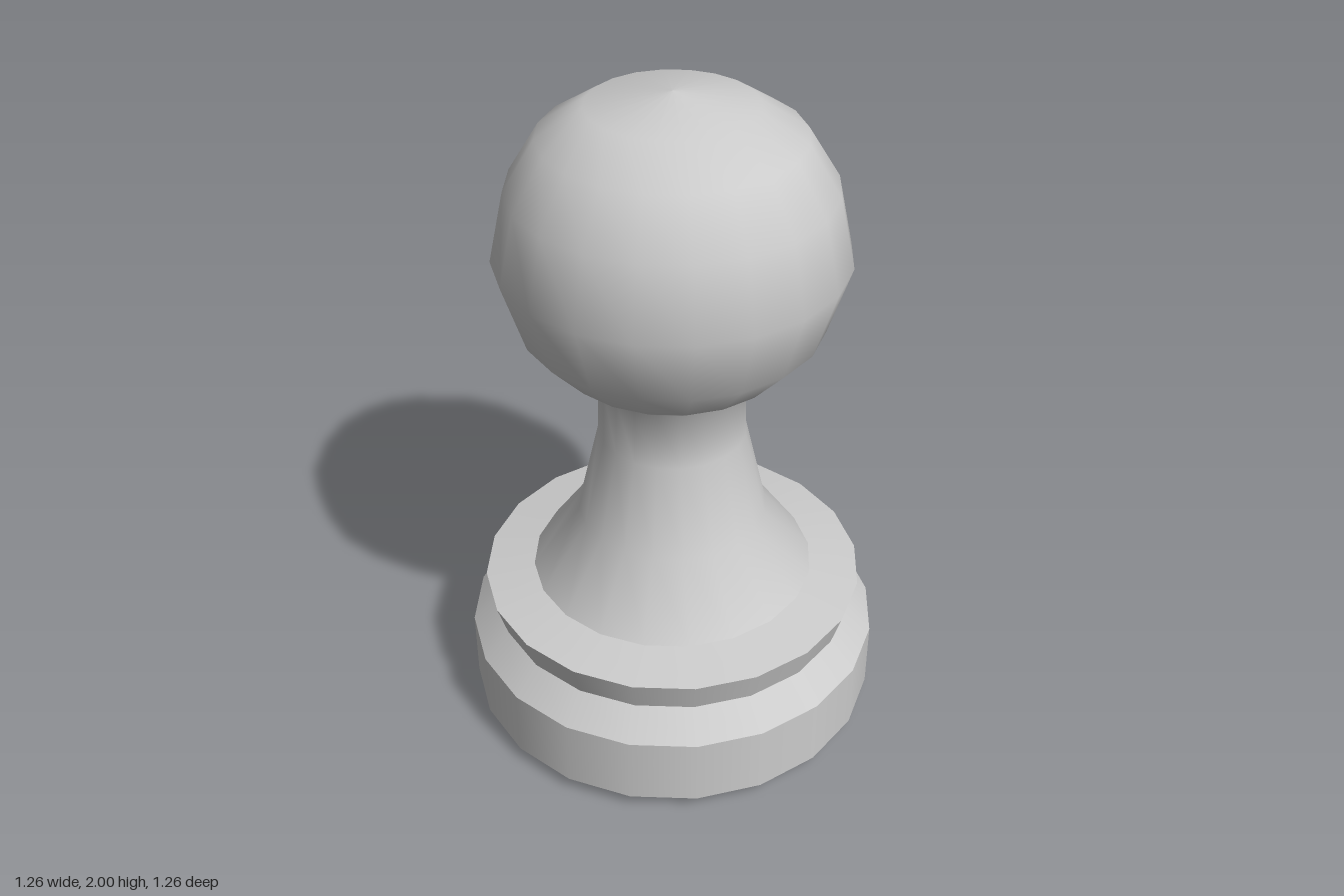
import * as THREE from 'three';
import { mergeGeometries } from 'three/addons/utils/BufferGeometryUtils.js';

const SIDES = 20;
const material = new THREE.MeshStandardMaterial({ color: 0xcccccc });

// Smooth surface of revolution through [radius, height] points, bottom to top
const turn = (profile) =>
  new THREE.LatheGeometry(profile.map(([r, y]) => new THREE.Vector2(r, y)), SIDES);

// Same, but with a hard edge at every profile point
const turnCreased = (profile) =>
  mergeGeometries(profile.slice(1).map((p, i) => turn([profile[i], p])));

export function createModel() {
  const group = new THREE.Group();
  const add = (name, geometry) => {
    const mesh = new THREE.Mesh(geometry, material);
    mesh.name = name;
    group.add(mesh);
  };

  // Chamfered foot, closed underneath
  add('base', turnCreased([[0, 0], [0.55, 0], [0.63, 0.045], [0.63, 0.26], [0.55, 0.34]]));

  // Flared ring with a slightly sloping top
  add('collar', turnCreased([[0.55, 0.34], [0.58, 0.44], [0.43, 0.465]]));

  // Flared stem running smoothly into the ball head
  add('stemAndHead', turn([
    [0.43, 0.465], [0.285, 0.67], [0.22, 0.95], [0.215, 1.13],
    [0.33, 1.21], [0.435, 1.325], [0.5, 1.53], [0.455, 1.735],
    [0.365, 1.88], [0.235, 1.963], [0, 2],
  ]));

  return group;
}
